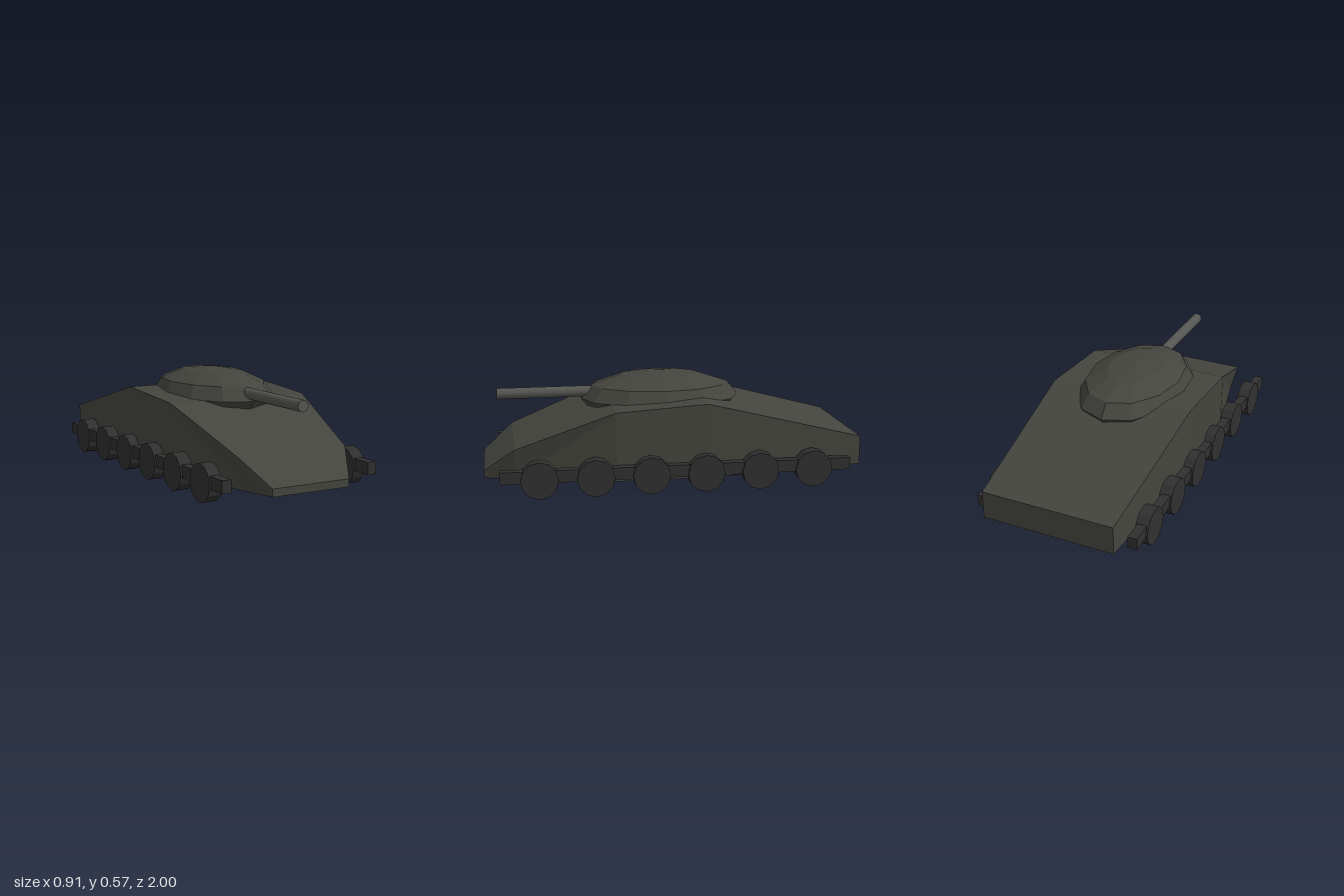
import * as THREE from 'three';

const material = (color, flatShading = true) => new THREE.MeshStandardMaterial({ color, flatShading });

function addMesh(parent, name, geometry, mat) {
  const mesh = new THREE.Mesh(geometry, mat);
  mesh.name = name;
  parent.add(mesh);
  return mesh;
}

// Faceted hull lofted through four-cornered cross-sections, front to back
function hullGeometry() {
  // z, top half width, top y, bottom half width, bottom y
  const stations = [
    [1.0, 0.22, 0.1, 0.22, 0.06],
    [0.84, 0.31, 0.228, 0.265, 0.06],
    [0.32, 0.4, 0.425, 0.395, 0.06],
    [-0.16, 0.403, 0.455, 0.4, 0.06],
    [-1.0, 0.36, 0.24, 0.36, 0.087],
  ];
  const rings = stations.map(([z, wt, yt, wb, yb]) => [
    [-wt, yt, z], [wt, yt, z], [wb, yb, z], [-wb, yb, z],
  ]);
  const points = [];
  const quad = (a, b, c, d) => points.push(...a, ...b, ...c, ...a, ...c, ...d);

  for (let i = 0; i < rings.length - 1; i++) {
    const A = rings[i], B = rings[i + 1];
    for (let j = 0; j < 4; j++) {
      const k = (j + 1) % 4;
      // Diagonals mirror left to right
      if ((i >= 2) === (j === 1)) quad(A[j], A[k], B[k], B[j]);
      else quad(A[k], B[k], B[j], A[j]);
    }
  }
  const [tl, tr, br, bl] = rings[0];
  quad(tr, tl, bl, br);
  quad(...rings[rings.length - 1]);

  const geometry = new THREE.BufferGeometry();
  geometry.setAttribute('position', new THREE.Float32BufferAttribute(points, 3));
  geometry.computeVertexNormals();
  return geometry;
}

export function createModel() {
  const model = new THREE.Group();
  model.name = 'tank';

  const armour = material(0x45453f);
  const running = material(0x303030);
  const gunMetal = material(0x555552, false);

  addMesh(model, 'hull', hullGeometry(), armour);

  // Turret: low-poly flattened ellipsoid, partly sunk into the hull
  const turret = addMesh(model, 'turret', new THREE.SphereGeometry(1, 12, 6), armour);
  turret.scale.set(0.29, 0.143, 0.435);
  turret.position.set(0, 0.425, 0.035);

  // Gun barrel
  const barrel = addMesh(model, 'gunBarrel', new THREE.CylinderGeometry(0.03, 0.03, 0.62, 16), gunMetal);
  barrel.rotation.x = Math.PI / 2;
  barrel.position.set(0, 0.462, 0.61);

  // Running gear on each side: six road wheels on a long bar
  const wheelGeometry = new THREE.CylinderGeometry(0.098, 0.098, 0.068, 12).rotateZ(Math.PI / 2);
  const barGeometry = new THREE.BoxGeometry(0.05, 0.064, 1.84);
  for (const side of [1, -1]) {
    const gear = new THREE.Group();
    gear.name = side > 0 ? 'leftRunningGear' : 'rightRunningGear';
    gear.position.x = side * 0.42;
    addMesh(gear, 'trackBar', barGeometry, running).position.y = 0.116;
    for (let i = 0; i < 6; i++) {
      addMesh(gear, 'roadWheel', wheelGeometry, running).position.set(0, 0.098, 0.72 - i * 0.288);
    }
    model.add(gear);
  }

  return model;
}
